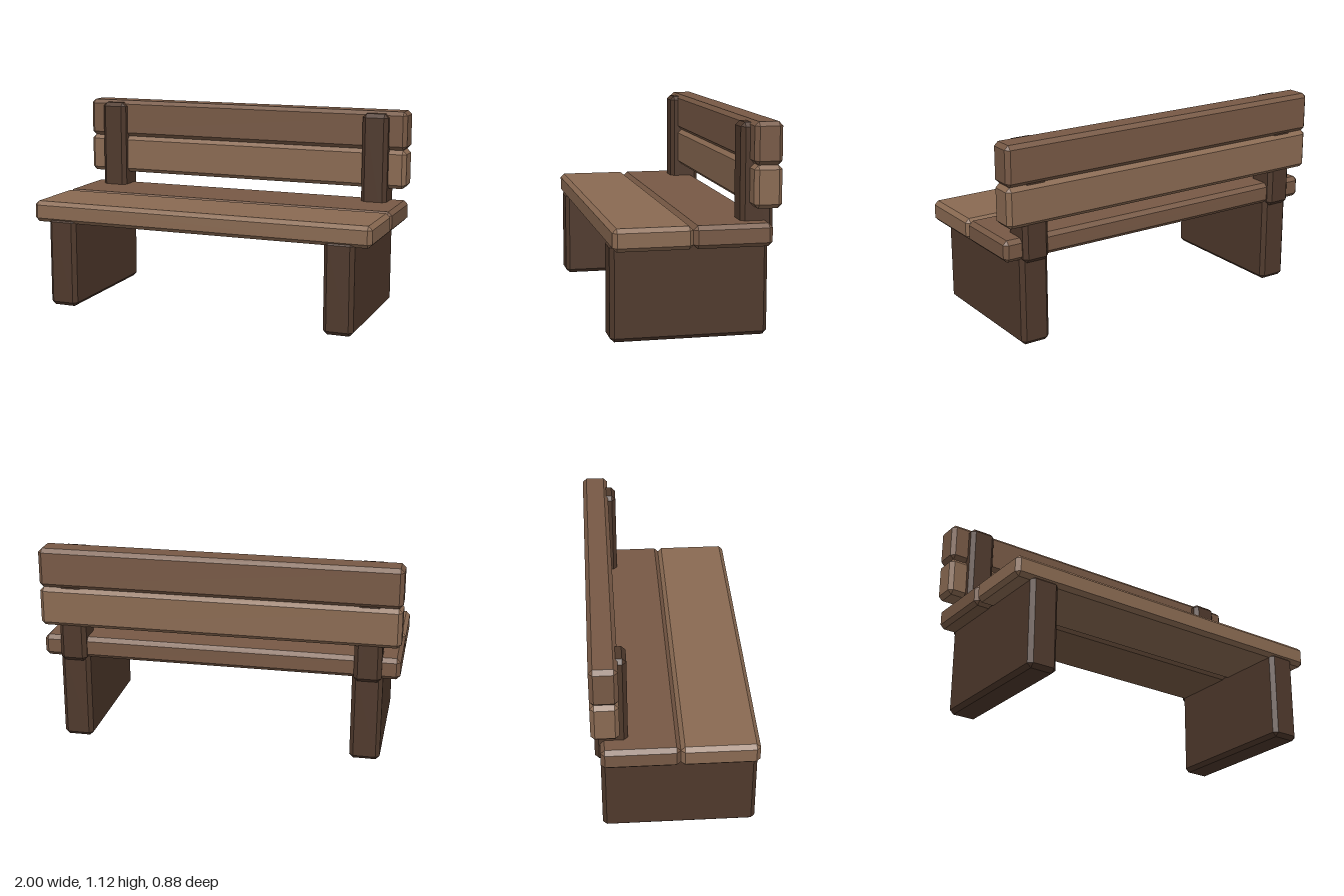
import * as THREE from 'three';
import { ConvexGeometry } from 'three/addons/geometries/ConvexGeometry.js';

const lightWood = new THREE.MeshStandardMaterial({ color: 0x8a6a52 });
const midWood = new THREE.MeshStandardMaterial({ color: 0x775945 });
const darkWood = new THREE.MeshStandardMaterial({ color: 0x4f392c });

// Box between two corners with every edge and corner chamfered
function beam(name, material, [x0, x1], [y0, y1], [z0, z1], bevel = 0.022) {
  const half = [(x1 - x0) / 2, (y1 - y0) / 2, (z1 - z0) / 2];
  const points = [];
  for (const sx of [-1, 1]) for (const sy of [-1, 1]) for (const sz of [-1, 1]) {
    for (let axis = 0; axis < 3; axis++) {
      // full extent along one axis, inset along the other two
      const c = half.map((h, i) => (i === axis ? h : h - bevel));
      points.push(new THREE.Vector3(c[0] * sx, c[1] * sy, c[2] * sz));
    }
  }
  const mesh = new THREE.Mesh(new ConvexGeometry(points), material);
  mesh.name = name;
  mesh.position.set((x0 + x1) / 2, (y0 + y1) / 2, (z0 + z1) / 2);
  return mesh;
}

export function createModel() {
  const bench = new THREE.Group();
  bench.name = 'bench';
  const span = [-1, 1];

  // Seat planks
  bench.add(
    beam('seatPlankFront', lightWood, span, [0.487, 0.607], [0.023, 0.438]),
    beam('seatPlankBack', midWood, span, [0.487, 0.607], [-0.392, 0.023]),
  );

  // Backrest planks
  bench.add(
    beam('backPlankLower', lightWood, span, [0.682, 0.904], [-0.438, -0.29]),
    beam('backPlankUpper', midWood, span, [0.904, 1.125], [-0.438, -0.29]),
  );

  // Slab legs and backrest posts on both sides
  for (const [side, s] of [['Left', 1], ['Right', -1]]) {
    const across = (a, b) => (s > 0 ? [a, b] : [-b, -a]);
    bench.add(
      beam('leg' + side, darkWood, across(0.74, 0.908), [0, 0.515], [-0.392, 0.438]),
      beam('post' + side, darkWood, across(0.75, 0.9), [0.472, 1.113], [-0.42, -0.245]),
    );
  }
  return bench;
}
